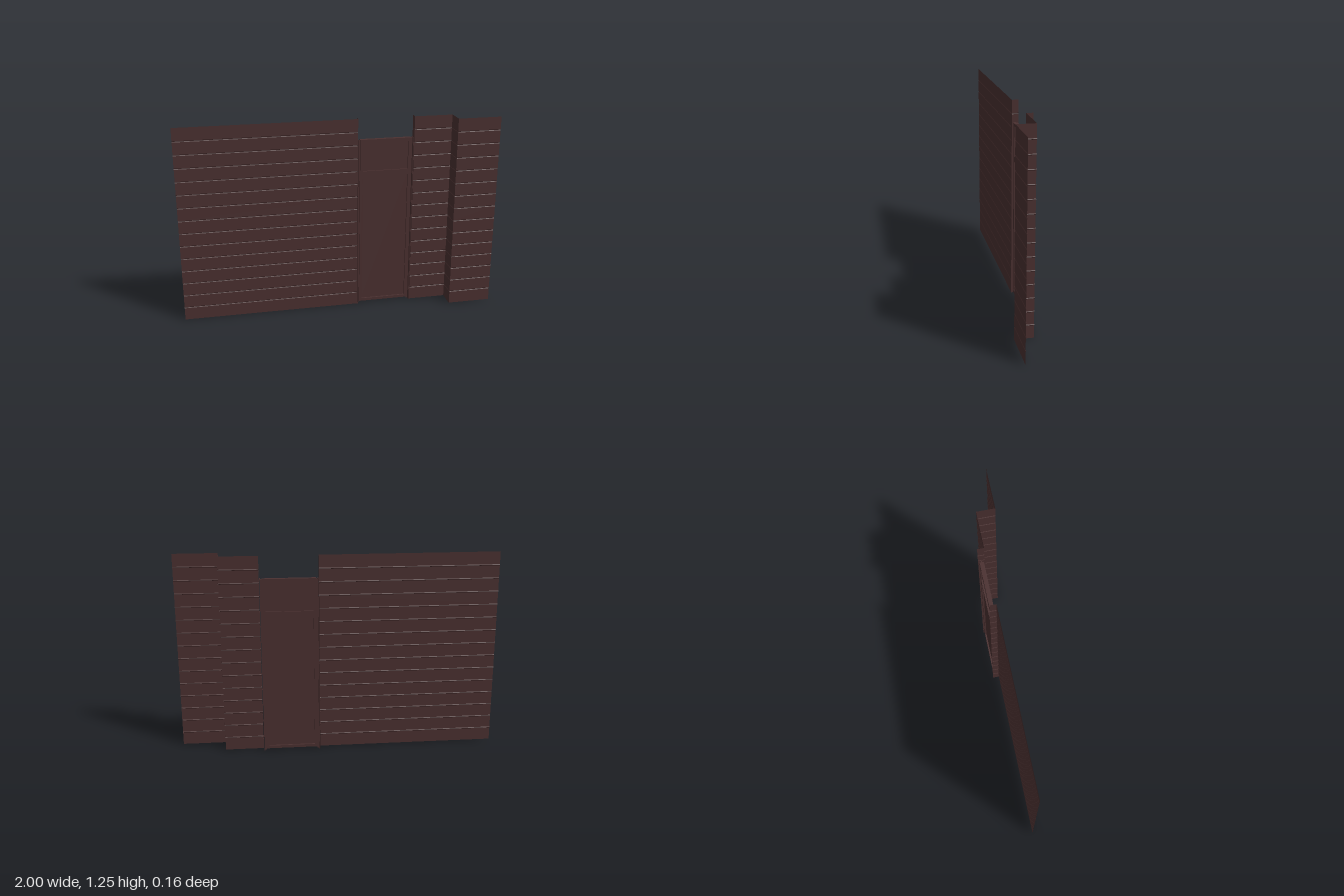
import * as THREE from 'three';

const HEIGHT = 1.25, BOARDS = 15, GROOVE = 0.004, DEPTH = 0.003;

// Sheet of grooved siding that follows a plan path of [x, z] points
function sidingGeometry(path) {
  const rows = [[0, 0]];
  for (let i = 1; i < BOARDS; i++) {
    const y = (i * HEIGHT) / BOARDS;
    rows.push([y - GROOVE, 0], [y, DEPTH], [y + GROOVE, 0]);
  }
  rows.push([HEIGHT, 0]);

  const normals = path.slice(1).map(([x, z], i) => {
    const dx = x - path[i][0], dz = z - path[i][1], l = Math.hypot(dx, dz);
    return [-dz / l, dx / l];
  });
  // Mitred inward direction at each path point
  const inward = path.map((_, i) => {
    const a = normals[i - 1], b = normals[i];
    return a && b ? [-a[0] - b[0], -a[1] - b[1]] : (a || b).map(v => -v);
  });
  const point = (i, [y, d]) => [path[i][0] + inward[i][0] * d, y, path[i][1] + inward[i][1] * d];

  const pos = [];
  for (let i = 0; i < path.length - 1; i++) {
    for (let r = 0; r < rows.length - 1; r++) {
      const a = point(i, rows[r]), b = point(i + 1, rows[r]);
      const c = point(i + 1, rows[r + 1]), d = point(i, rows[r + 1]);
      pos.push(...a, ...b, ...c, ...a, ...c, ...d);
    }
  }
  const g = new THREE.BufferGeometry();
  g.setAttribute('position', new THREE.Float32BufferAttribute(pos, 3));
  g.computeVertexNormals();
  return g;
}

function rectangle(Type, x0, y0, x1, y1) {
  const s = new Type();
  s.moveTo(x0, y0);
  s.lineTo(x1, y0);
  s.lineTo(x1, y1);
  s.lineTo(x0, y1);
  s.closePath();
  return s;
}

export function createModel() {
  const model = new THREE.Group();
  model.name = 'sidingWallWithDoor';
  const paint = new THREE.MeshStandardMaterial({ color: 0x4a3030, side: THREE.DoubleSide });
  paint.name = 'dark brown paint';

  const add = (name, geometry, parent = model) => {
    const mesh = new THREE.Mesh(geometry, paint);
    mesh.name = name;
    parent.add(mesh);
    return mesh;
  };
  const box = (name, x0, x1, y0, y1, z0, z1, parent) => {
    const g = new THREE.BoxGeometry(x1 - x0, y1 - y0, z1 - z0);
    g.translate((x0 + x1) / 2, (y0 + y1) / 2, (z0 + z1) / 2);
    return add(name, g, parent);
  };

  // Siding on both sides of the doorway, each turning back into it
  add('mainWall', sidingGeometry([[-1, -0.037], [0.12, -0.037], [0.12, -0.078]]));
  add('steppedWall', sidingGeometry(
    [[0.48, -0.078], [0.48, -0.037], [0.723, -0.037], [0.723, 0.078], [1, 0.078]]));

  // Door posts
  box('rightDoorPost', 0.123, 0.127, 0, 1.115, -0.078, -0.036);
  box('leftDoorPost', 0.473, 0.477, 0, 1.115, -0.078, -0.036);
  box('rightDoorStop', 0.127, 0.137, 0, 1.112, -0.062, -0.056);
  box('leftDoorStop', 0.463, 0.473, 0, 1.112, -0.062, -0.056);

  // Door frame with two recessed panels
  const door = new THREE.Group();
  door.name = 'door';
  model.add(door);
  const panels = [['lowerPanel', 0.03, 0.878], ['upperPanel', 0.912, 1.1]];
  const outline = rectangle(THREE.Shape, 0.137, 0.012, 0.463, 1.115);
  for (const [name, y0, y1] of panels) {
    outline.holes.push(rectangle(THREE.Path, 0.154, y0, 0.446, y1));
    box(name, 0.154, 0.446, y0, y1, -0.061, -0.055, door);
  }
  const frame = new THREE.ExtrudeGeometry(outline, { depth: 0.026, bevelEnabled: false });
  frame.translate(0, 0, -0.071);
  add('doorFrame', frame, door);

  return model;
}
